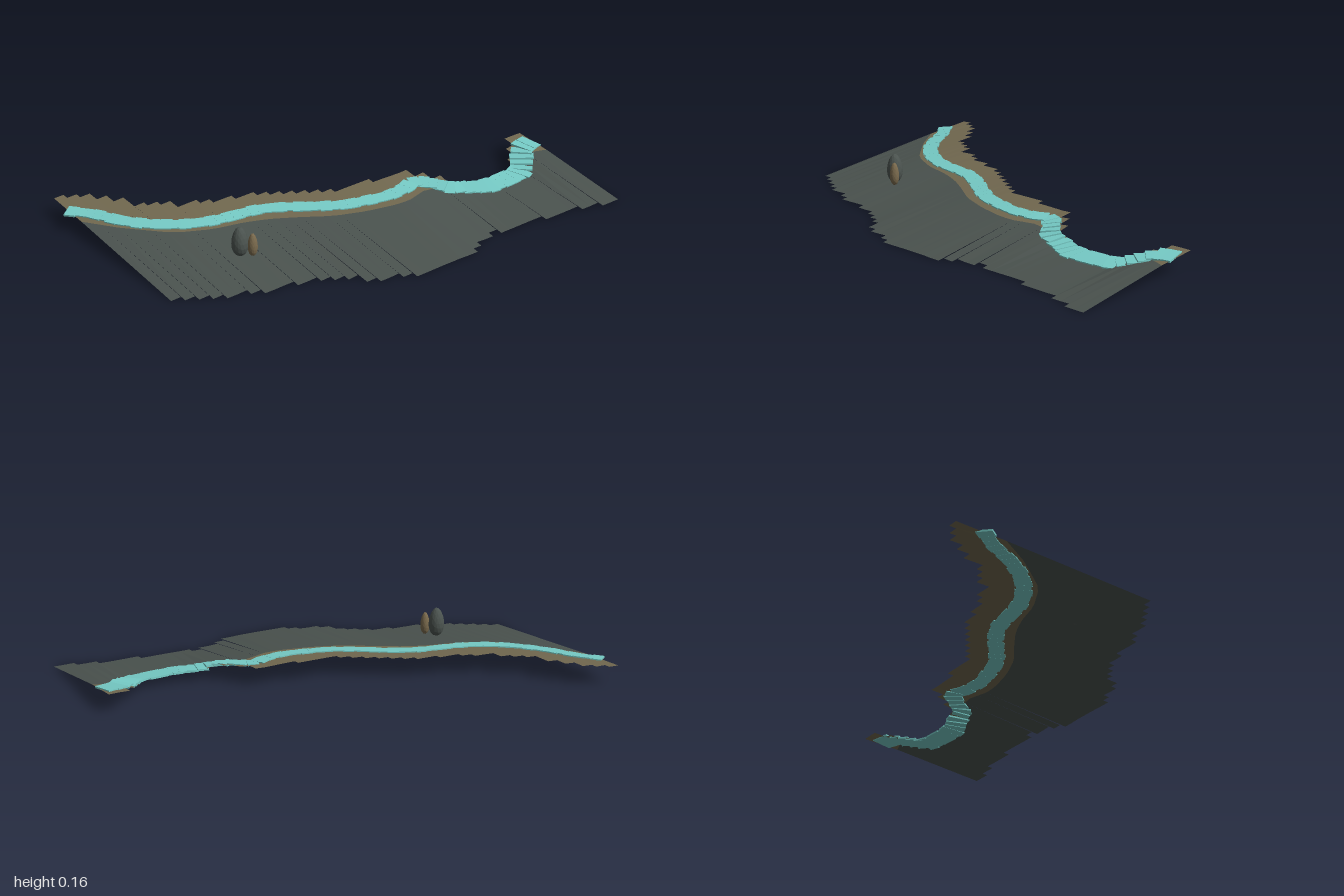
import * as THREE from 'three';

// Terrain sections: z, left edge, bank boundary, right edge, boundary height, left height
const SECTIONS = [
  [-0.98, 0.07, 0.23, 0.67, 0.065, 0.08], [-0.9, 0.07, 0.2, 0.65, 0.065, 0.08],
  [-0.85, 0.13, 0.2, 0.64, 0.055, 0.065], [-0.8, 0.22, 0.24, 0.62, 0.04, 0.043],
  [-0.72, 0.28, 0.29, 0.6, 0.034, 0.035], [-0.57, 0.28, 0.29, 0.59, 0.034, 0.035],
  [-0.5, 0.24, 0.27, 0.59, 0.038, 0.041], [-0.44, 0.19, 0.26, 0.57, 0.048, 0.065],
  [-0.37, 0.1, 0.21, 0.56, 0.06, 0.077], [-0.32, 0.01, 0.19, 0.57, 0.064, 0.082],
  [-0.2, 0.03, 0.225, 0.62, 0.065, 0.082], [-0.13, 0.01, 0.22, 0.65, 0.065, 0.083],
  [0, -0.01, 0.19, 0.65, 0.065, 0.083], [0.13, -0.1, 0.14, 0.61, 0.065, 0.083],
  [0.25, -0.18, 0.06, 0.56, 0.065, 0.083], [0.35, -0.21, 0, 0.47, 0.065, 0.083],
  [0.45, -0.23, -0.04, 0.4, 0.065, 0.083], [0.58, -0.3, -0.07, 0.385, 0.065, 0.083],
  [0.72, -0.42, -0.14, 0.33, 0.065, 0.083], [0.8, -0.54, -0.23, 0.3, 0.065, 0.083],
  [0.87, -0.62, -0.31, 0.25, 0.065, 0.083], [0.965, -0.68, -0.45, 0.18, 0.065, 0.083],
];

// Stream centre line: x, z, width
const STREAM = [
  [0.14, -0.97, 0.1], [0.16, -0.9, 0.1], [0.22, -0.84, 0.1], [0.275, -0.78, 0.1],
  [0.285, -0.7, 0.1], [0.285, -0.58, 0.1], [0.255, -0.5, 0.09], [0.23, -0.42, 0.08],
  [0.17, -0.37, 0.075], [0.12, -0.31, 0.075], [0.14, -0.25, 0.07], [0.15, -0.15, 0.065],
  [0.13, -0.05, 0.065], [0.1, 0.05, 0.065], [0.04, 0.15, 0.065], [-0.03, 0.25, 0.065],
  [-0.08, 0.35, 0.065], [-0.1, 0.45, 0.065], [-0.12, 0.55, 0.065], [-0.17, 0.66, 0.065],
  [-0.25, 0.76, 0.065], [-0.35, 0.84, 0.065], [-0.46, 0.9, 0.06], [-0.55, 0.97, 0.06],
];

function section(z) {
  let i = 0;
  while (i < SECTIONS.length - 2 && z > SECTIONS[i + 1][0]) i++;
  const a = SECTIONS[i], b = SECTIONS[i + 1];
  const t = THREE.MathUtils.clamp((z - a[0]) / (b[0] - a[0]), 0, 1);
  return a.map((v, k) => v + (b[k] - v) * t);
}

function height(x, z) {
  const [, l, b, r, hb, hl] = section(z);
  if (x > b) return Math.max(0, hb * (r - x) / (r - b));
  return Math.min(0.085, hb + (hl - hb) * (b - x) / (b - l));
}

// Strip of separate rows, so that its outer edge is stepped
function terrain(edges) {
  const rows = 43, z0 = -0.98, dz = 1.945 / rows, pos = [];
  for (let i = 0; i < rows; i++) {
    const za = z0 + i * dz, zb = za + dz;
    const [la, ra, lb, rb] = edges(za, zb);
    const p = (x, z) => [x, height(x, z), z];
    const A = p(la, za), B = p(ra, za), C = p(lb, zb), D = p(rb, zb);
    pos.push(...A, ...C, ...D, ...A, ...D, ...B);
  }
  const g = new THREE.BufferGeometry();
  g.setAttribute('position', new THREE.Float32BufferAttribute(pos, 3));
  g.computeVertexNormals();
  return g;
}

const snap = (x) => Math.round(x / 0.029) * 0.029;

export function createModel() {
  const model = new THREE.Group();
  const mat = (name, color, side = THREE.FrontSide) => {
    const m = new THREE.MeshStandardMaterial({ color, side });
    m.name = name;
    return m;
  };
  const slate = mat('slate', 0x4a524e, THREE.DoubleSide);
  const earth = mat('earth', 0x71684f, THREE.DoubleSide);
  const water = mat('water', 0x76cbc6);
  const darkStone = mat('darkStone', 0x4c5450);
  const tanStone = mat('tanStone', 0x7a6a4d);
  darkStone.flatShading = tanStone.flatShading = true;

  const add = (name, geometry, material, parent = model) => {
    const m = new THREE.Mesh(geometry, material);
    m.name = name;
    parent.add(m);
    return m;
  };

  // Sloping ground and the earth bank along its upper edge
  add('slope', terrain((a, b) => {
    const r = snap(section((a + b) / 2)[3]);
    return [section(a)[2], r, section(b)[2], r];
  }), slate);
  add('bank', terrain((a, b) => {
    const l = snap(section((a + b) / 2)[1]);
    return [Math.min(l, section(a)[2]), section(a)[2], Math.min(l, section(b)[2]), section(b)[2]];
  }), earth);

  // Stream of overlapping flat plates following the slope
  const stream = new THREE.Group();
  stream.name = 'stream';
  model.add(stream);
  const curve = new THREE.CatmullRomCurve3(STREAM.map(([x, z, w]) => new THREE.Vector3(x, w, z)));
  const count = 62;
  for (let i = 0; i < count; i++) {
    const t = (i + 0.5) / count;
    const c = curve.getPointAt(t), d = curve.getTangentAt(t).setY(0).normalize();
    const side = new THREE.Vector3(d.z, 0, -d.x);
    const w = c.y, h = w / 2;
    const at = (s) => new THREE.Vector3(c.x + side.x * s, height(c.x + side.x * s, c.z + side.z * s), c.z + side.z * s);
    const across = at(h).sub(at(-h)).normalize();
    const up = new THREE.Vector3().crossVectors(d, across).normalize();
    const along = new THREE.Vector3().crossVectors(across, up);
    const plate = add('streamPlate', new THREE.BoxGeometry(w + 0.007 * Math.sin(i * 2.4), 0.008, 0.047), water, stream);
    plate.quaternion.setFromRotationMatrix(new THREE.Matrix4().makeBasis(across, up, along));
    plate.position.set(c.x, height(c.x, c.z) + 0.001, c.z);
  }

  // Two upright stones, narrowing towards the top
  const stone = (name, material, x, y, z, r, h) => {
    const g = new THREE.IcosahedronGeometry(1, 2);
    const p = g.attributes.position;
    for (let i = 0; i < p.count; i++) {
      const k = 1 - 0.18 * p.getY(i);
      p.setXYZ(i, p.getX(i) * r * k, p.getY(i) * h, p.getZ(i) * r * k);
    }
    g.computeVertexNormals();
    add(name, g, material).position.set(x, y, z);
  };
  stone('largeStone', darkStone, 0.127, 0.098, 0.588, 0.034, 0.064);
  stone('smallStone', tanStone, 0.163, 0.087, 0.552, 0.02, 0.05);
  return model;
}
